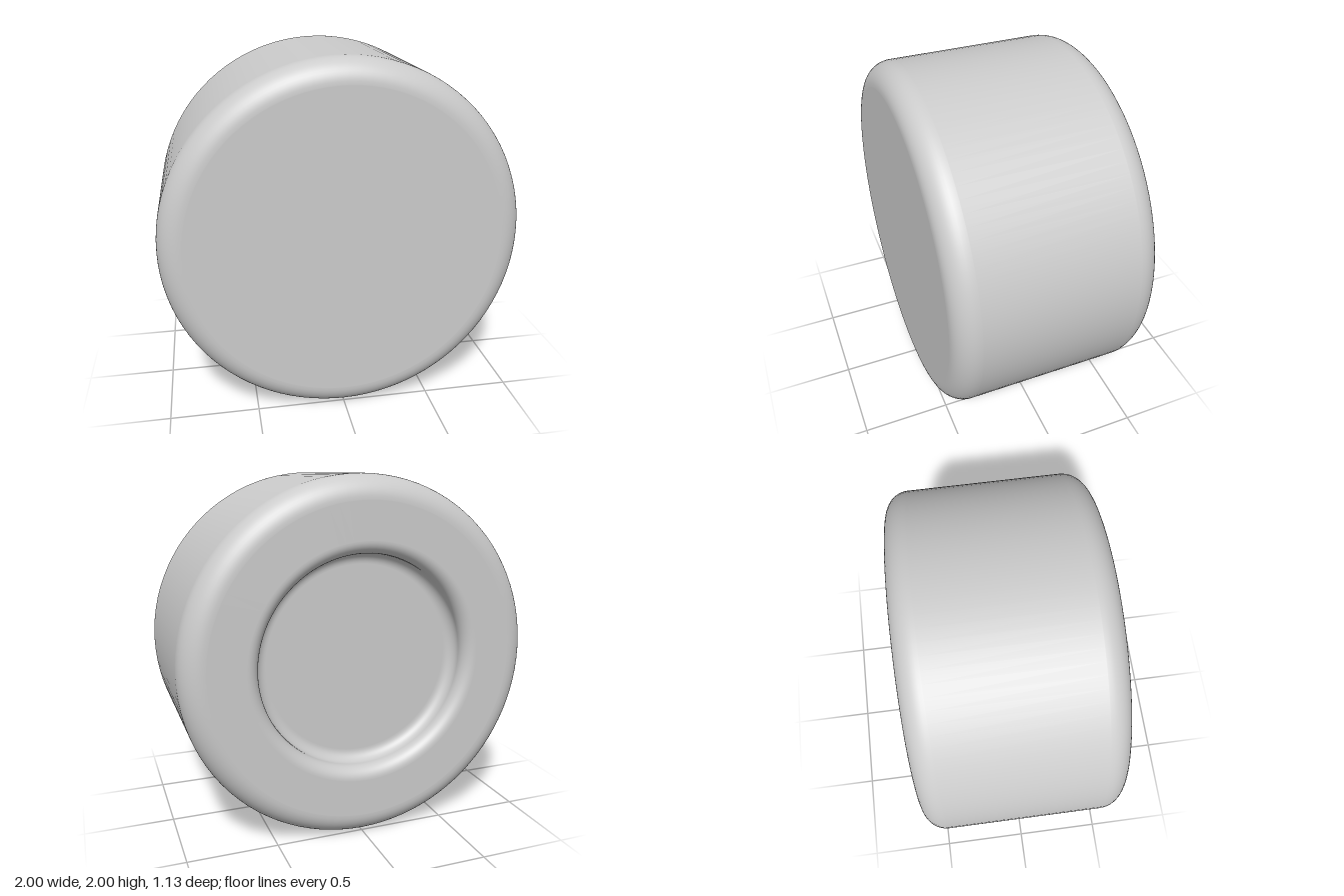
import * as THREE from 'three';

const HALF = 0.567;   // half the depth
const ROUND = 0.13;   // outer edge rounding
const DEPTH = 0.14;   // recess depth

// Quarter-round arc, with short lead-in and lead-out points that keep the flats truly flat
function arc(cx, cy, r, from, to, steps = 12) {
  const e = 0.003, dir = Math.sign(to - from);
  const at = (a) => new THREE.Vector2(cx + r * Math.cos(a), cy + r * Math.sin(a));
  const tangent = (a) => new THREE.Vector2(-Math.sin(a) * dir * e, Math.cos(a) * dir * e);
  const pts = [at(from).sub(tangent(from))];
  for (let i = 0; i <= steps; i++) pts.push(at(from + (to - from) * i / steps));
  pts.push(at(to).add(tangent(to)));
  return pts;
}

export function createModel() {
  const group = new THREE.Group();
  const q = Math.PI / 2;

  // Half section from the recess centre, round the outside, to the front centre
  const profile = [
    new THREE.Vector2(0, -HALF + DEPTH),
    ...arc(0.53, -HALF + DEPTH - 0.06, 0.06, q, 0),        // recess floor into wall
    ...arc(0.66, -HALF + 0.07, 0.07, -2 * q, -q),          // recess lip
    ...arc(1 - ROUND, -HALF + ROUND, ROUND, -q, 0),        // back edge
    ...arc(1 - ROUND, HALF - ROUND, ROUND, 0, q),          // front edge
    new THREE.Vector2(0, HALF),
  ];

  // Round body lying on its side, recess to the back
  const geometry = new THREE.LatheGeometry(profile, 96);
  geometry.rotateX(q);
  const body = new THREE.Mesh(geometry, new THREE.MeshStandardMaterial({ color: 0xcccccc }));
  body.name = 'roundBody';
  body.position.y = 1;
  group.add(body);
  return group;
}
